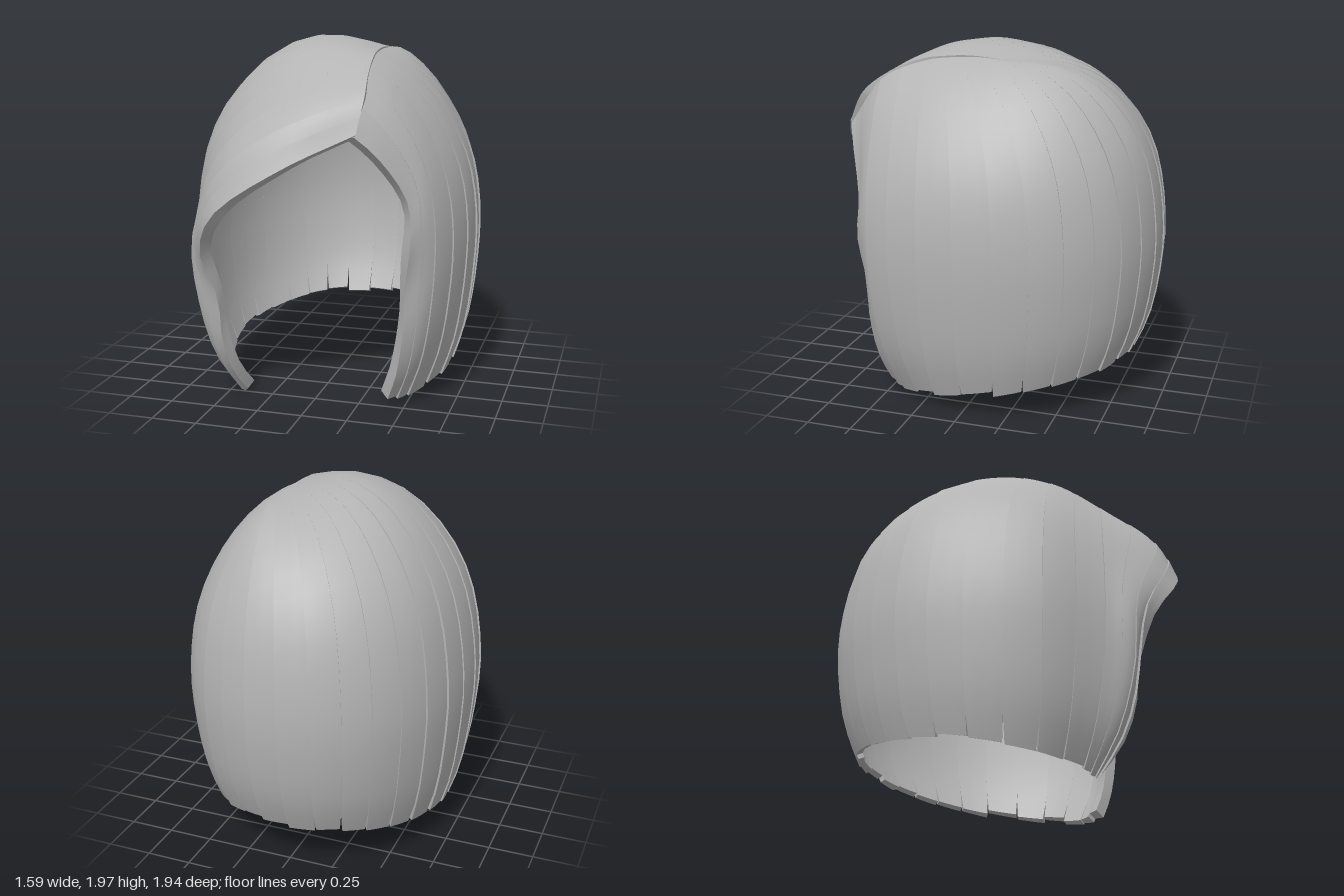
import * as THREE from 'three';
import { toCreasedNormals } from 'three/addons/utils/BufferGeometryUtils.js';

const { clamp, lerp, smoothstep, degToRad } = THREE.MathUtils;
const V = (x, y, z) => new THREE.Vector3(x, y, z);
const spline = (pts) => new THREE.CatmullRomCurve3(pts, false, 'centripetal');

const ROWS = 18, COLS = 3, LOCKS_PER_GAP = 2;
const FIRST = 142, BACK = 280, LAST = 394, STEPS = 11; // strand angles in degrees, 90 = front

let seed = 7;
const rand = () => (seed = (seed * 16807) % 2147483647) / 2147483647;

// Off-centre parting, from the forehead to the crown
const parting = spline([V(0.3, 1.54, 0.77), V(0.31, 1.71, 0.68), V(0.28, 1.88, 0.42), V(0.26, 1.93, 0.1), V(0.29, 1.91, -0.2)]);

// Below the widest point a strand hangs down, then tucks in towards its tip
function hang(upper, tip) {
  const w = upper[upper.length - 1];
  const lower = [[0.4, 0.12], [0.74, 0.46]].map(([fy, fxz]) => {
    const p = w.clone().lerp(tip, fxz);
    p.y = lerp(w.y, tip.y, fy);
    return p;
  });
  return spline([...upper, ...lower, tip]);
}

// A strand arching from the parting over the skull at the given angle
function skullStrand(deg) {
  const c = Math.cos(degToRad(deg)), s = Math.sin(degToRad(deg));
  const along = deg < BACK ? (deg - 130) / (BACK - 130) : (402 - deg) / (402 - BACK);
  const root = parting.getPointAt(Math.pow(along, 0.45));
  root.x -= 0.012 * c; // the two sides overlap a little at the parting
  const wide = V(
    0.79 * Math.sign(c) * Math.abs(c) ** 0.93, 0.98,
    (s > 0 ? 0.9 : 0.96) * Math.sign(s) * Math.abs(s) ** 0.93);
  const bump = 0.42 * Math.max(0, -c) ** 2 * (1 - Math.max(0, s));
  const arch = [0, 0.2, 0.4, 0.6, 0.8, 0.93, 1].map((f) => {
    const p = root.clone().lerp(wide, f);
    const drop = 1 - Math.sqrt(1 - f ** (2.2 - 0.8 * c - 0.4 * s));
    p.y = lerp(root.y, wide.y, drop) + bump * f * (1 - f) ** 1.3;
    return p;
  });
  const tuck = 0.85 - 0.2 * Math.max(0, wide.z);
  const tip = V(wide.x * tuck, 0.115 - 0.18 * wide.z * tuck, wide.z * tuck);
  return hang(arch, tip);
}

// Two swept fringe strands, then around the right side and back to the left front edge
const guides = [
  hang([V(0.3, 1.54, 0.77), V(-0.05, 1.37, 0.93), V(-0.4, 1.13, 0.97), V(-0.53, 0.88, 0.83), V(-0.47, 0.62, 0.74)], V(-0.4, 0.03, 0.5)),
  hang([V(0.32, 1.71, 0.68), V(0, 1.6, 0.82), V(-0.36, 1.37, 0.87), V(-0.6, 0.95, 0.74)], V(-0.43, 0.02, 0.48)),
];
for (let i = 0; i <= STEPS; i++) guides.push(skullStrand(lerp(FIRST, LAST, i / STEPS)));
guides.push(hang([V(0.29, 1.53, 0.77), V(0.4, 1.42, 0.71), V(0.54, 1.17, 0.62), V(0.55, 0.95, 0.63), V(0.52, 0.7, 0.6)], V(0.4, 0.04, 0.5)));
const GAPS = guides.length - 1;

// Point and outward normal on the hair: u goes around, v from parting to hem
function surface(u, v) {
  return spline(guides.map((g) => g.getPointAt(v))).getPoint(clamp(u / GAPS, 0, 1));
}
function normal(u, v) {
  const e = 0.03, vv = clamp(v, 0.08, 0.96);
  const du = surface(u + e * 3, vv).sub(surface(u - e * 3, vv));
  const dv = surface(u, vv + e).sub(surface(u, vv - e));
  return du.cross(dv).normalize();
}
// The hair is thickest along the two edges that frame the face
const thickness = (u) => 0.035 + 0.03 * Math.max(0, 1 - Math.min(u, GAPS - u));

// One lock: a closed slab lofted from ring sections, one edge raised over its neighbour
function lockGeometry(u0, u1) {
  const pos = [], idx = [], n = 2 * (COLS + 1);
  const length = 1 - 0.02 * rand(), lift = 0.004 + 0.01 * rand(), notch = 0.02 + 0.08 * rand();
  for (let j = 0; j <= ROWS; j++) {
    const v = (j / ROWS) * length;
    const taper = notch * smoothstep(v, 0.92, 1);
    const ramp = smoothstep(v, 0.1, 0.5);
    const outer = [], inner = [];
    for (let i = 0; i <= COLS; i++) {
      const s = i / COLS;
      const u = lerp(u0, u1, 0.5 + (s - 0.5) * (1 - taper));
      const p = surface(u, v), nrm = normal(u, v);
      outer.push(p.clone().addScaledVector(nrm, lift * ramp * (s - 0.4)));
      inner.unshift(p.addScaledVector(nrm, -thickness(u)));
    }
    for (const p of [...outer, ...inner]) pos.push(p.x, p.y, p.z);
  }
  for (let j = 0; j < ROWS; j++) {
    for (let i = 0; i < n; i++) {
      const a = j * n + i, b = j * n + (i + 1) % n;
      idx.push(a, b, b + n, a, b + n, a + n);
    }
  }
  // Cut ends at the hem and along the parting
  for (let i = 0; i < COLS; i++) {
    const o = ROWS * n, k = n - 1 - i;
    idx.push(o + i, o + i + 1, o + k - 1, o + i, o + k - 1, o + k);
    idx.push(i, k - 1, i + 1, i, k, k - 1);
  }
  const geo = new THREE.BufferGeometry();
  geo.setAttribute('position', new THREE.Float32BufferAttribute(pos, 3));
  geo.setIndex(idx);
  return toCreasedNormals(geo, 0.6);
}

export function createModel() {
  seed = 7;
  const model = new THREE.Group();
  model.name = 'bobHair';
  const hairGrey = new THREE.MeshStandardMaterial({ color: 0xb4b4b4 });
  hairGrey.name = 'hairGrey';

  // Each section ends at the given guide number
  let k = 0;
  for (const [name, end] of [['fringe', 2], ['rightSide', 5], ['back', 9], ['leftSide', GAPS]]) {
    const section = new THREE.Group();
    section.name = name;
    model.add(section);
    for (; k < end * LOCKS_PER_GAP; k++) {
      const mesh = new THREE.Mesh(lockGeometry(k / LOCKS_PER_GAP, (k + 1) / LOCKS_PER_GAP), hairGrey);
      mesh.name = 'hairLock' + (k + 1);
      section.add(mesh);
    }
  }
  return model;
}
